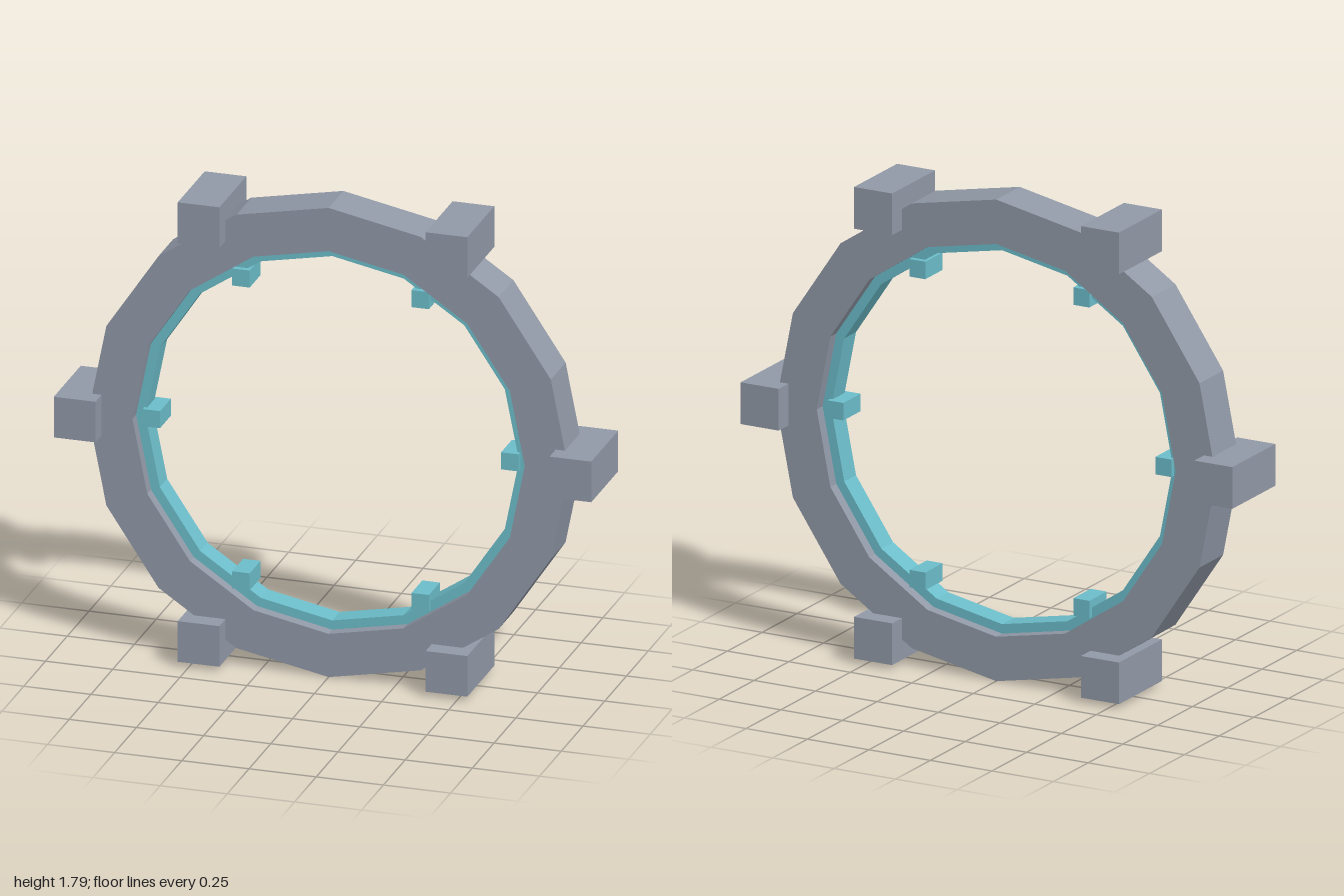
import * as THREE from 'three';

const SIDES = 16, CENTRE_Y = 0.9;

// Regular polygon outline with a corner at the top
function polygon(radius) {
  return Array.from({ length: SIDES }, (_, i) => {
    const a = (i / SIDES) * Math.PI * 2;
    return new THREE.Vector2(Math.cos(a) * radius, Math.sin(a) * radius);
  });
}

// Flat-faced ring with a rectangular section, centred on z = 0
function ringGeometry(outer, inner, depth) {
  const shape = new THREE.Shape(polygon(outer));
  shape.holes.push(new THREE.Path(polygon(inner)));
  const geometry = new THREE.ExtrudeGeometry(shape, { depth, bevelEnabled: false });
  geometry.translate(0, 0, -depth / 2);
  return geometry;
}

export function createModel() {
  const metal = new THREE.MeshStandardMaterial({ color: 0x9199a7 });
  metal.name = 'grey metal';
  const glow = new THREE.MeshStandardMaterial({ color: 0x6cbdca });
  glow.name = 'teal light';

  const model = new THREE.Group();
  model.name = 'ringGate';

  const add = (name, geometry, material, x = 0, y = 0) => {
    const mesh = new THREE.Mesh(geometry, material);
    mesh.name = name;
    mesh.position.set(x, CENTRE_Y + y, 0);
    model.add(mesh);
  };

  // Main frame and the narrower light band inside it
  add('outerRing', ringGeometry(0.895, 0.73, 0.17), metal);
  add('lightBand', ringGeometry(0.731, 0.695, 0.085), glow);

  // Six upright blocks around the outside, each with a small lamp inside
  const block = new THREE.BoxGeometry(0.155, 0.155, 0.31);
  const lamp = new THREE.BoxGeometry(0.065, 0.065, 0.125);
  for (let i = 0; i < 6; i++) {
    const a = (i * Math.PI) / 3, c = Math.cos(a), s = Math.sin(a);
    add(`outerBlock${i + 1}`, block, metal, c * 0.9225, s * 0.9225);
    add(`innerLamp${i + 1}`, lamp, glow, c * 0.667, s * 0.667);
  }
  return model;
}
